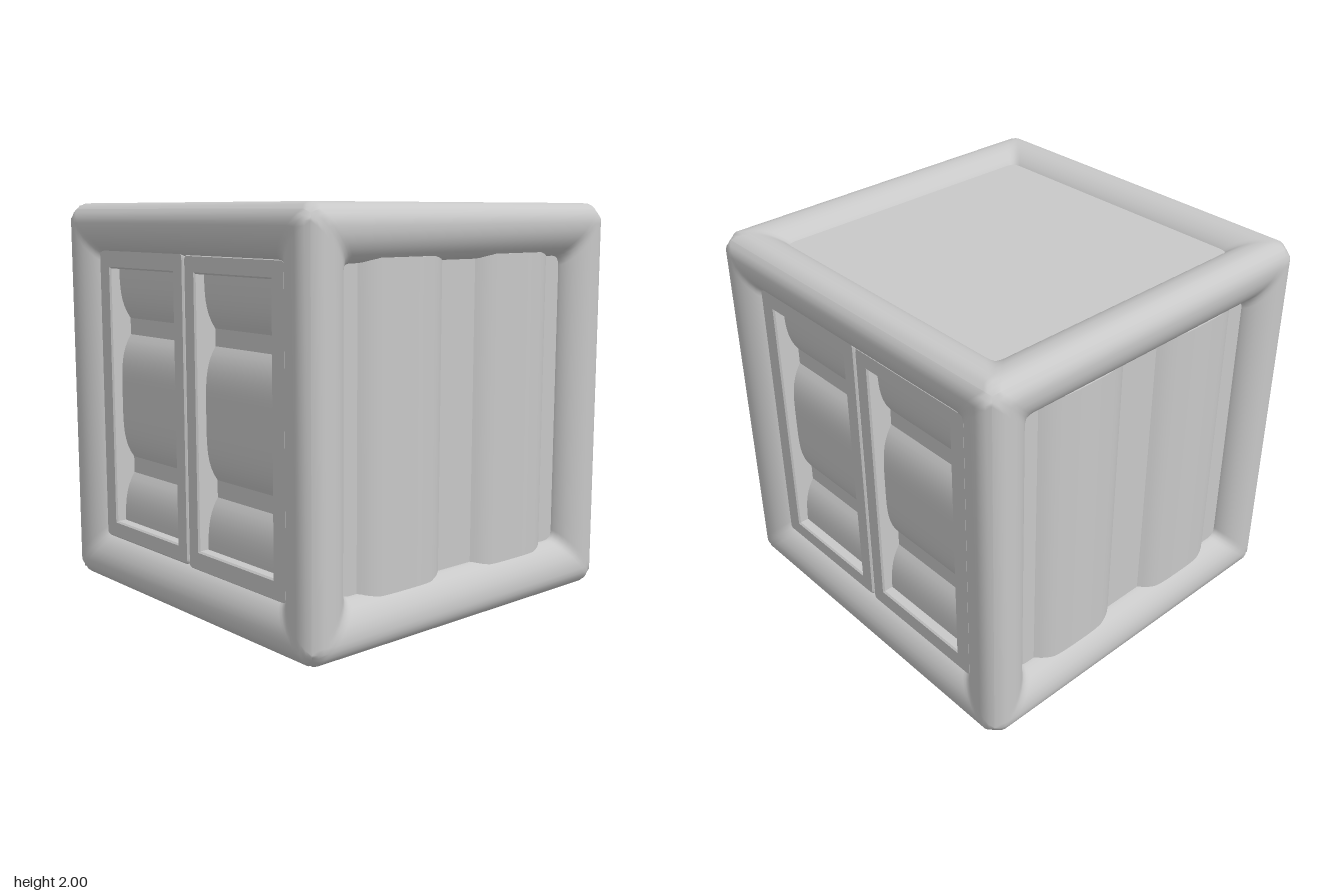
import * as THREE from 'three';
import { toCreasedNormals } from 'three/addons/utils/BufferGeometryUtils.js';

// Every face is built facing +z around the cube centre, then turned into place.

// Rounded border of one face: square loops swept from the outer edge to the opening.
function frameGeometry() {
  const profile = [[0.97, 0.97], [0.95, 0.987], [0.925, 0.997], [0.9, 1], [0.865, 0.998], [0.83, 0.988],
    [0.8, 0.972], [0.775, 0.953], [0.755, 0.93], [0.742, 0.905], [0.735, 0.88], [0.733, 0.78]];
  const r = 0.05, steps = 4, per = (steps + 1) * 4;
  const pos = [], index = [];
  profile.forEach(([u, h], i) => {
    const round = i / (profile.length - 1);
    for (let k = 0; k < 4; k++) {
      for (let s = 0; s <= steps; s++) {
        const a = (s / steps) * Math.PI / 2;
        const c = Math.cos(a), d = Math.sin(a), m = Math.max(c, d);
        const x = u - r + r * THREE.MathUtils.lerp(c / m, c, round);
        const y = u - r + r * THREE.MathUtils.lerp(d / m, d, round);
        const p = new THREE.Vector3(x, y, h);
        // soften the cube corner
        const sum = x + y + h;
        if (sum > 2.86) p.multiplyScalar(2.86 / sum);
        p.applyAxisAngle(new THREE.Vector3(0, 0, 1), k * Math.PI / 2);
        pos.push(p.x, p.y, p.z);
      }
    }
    if (i === 0) return;
    for (let j = 0; j < per; j++) {
      const n = (j + 1) % per, o = (i - 1) * per, q = i * per;
      index.push(o + j, o + n, q + n, o + j, q + n, q + j);
    }
  });
  const geo = new THREE.BufferGeometry();
  geo.setAttribute('position', new THREE.Float32BufferAttribute(pos, 3));
  geo.setIndex(index);
  geo.computeVertexNormals();
  return geo;
}

// Panel with rounded ribs running along y.
function ribbedGeometry(centres, half, height, base) {
  const span = 0.76, length = 1.52;
  const shape = new THREE.Shape();
  shape.moveTo(-span, base - 0.1);
  shape.lineTo(span, base - 0.1);
  shape.lineTo(span, base);
  const pts = [];
  for (const c of centres) {
    for (let i = 0; i <= 20; i++) {
      const s = 1 - i / 10, t = c + half * s;
      if (Math.abs(t) <= span) pts.push([t, base + height * (1 - Math.abs(s) ** 4)]);
    }
  }
  pts.sort((a, b) => b[0] - a[0]);
  pts.forEach(([t, h]) => shape.lineTo(t, h));
  shape.lineTo(-span, base);
  const geo = new THREE.ExtrudeGeometry(shape, { depth: length, bevelEnabled: false });
  geo.translate(0, 0, -length / 2);
  geo.rotateX(Math.PI / 2);
  return toCreasedNormals(geo, 0.5);
}

function rect(path, x0, y0, x1, y1, r) {
  path.moveTo(x0 + r, y0);
  path.lineTo(x1 - r, y0);
  path.quadraticCurveTo(x1, y0, x1, y0 + r);
  path.lineTo(x1, y1 - r);
  path.quadraticCurveTo(x1, y1, x1 - r, y1);
  path.lineTo(x0 + r, y1);
  path.quadraticCurveTo(x0, y1, x0, y1 - r);
  path.lineTo(x0, y0 + r);
  path.quadraticCurveTo(x0, y0, x0 + r, y0);
  return path;
}

// Door surround with one tall opening and a fine bevel.
function doorGeometry() {
  const b = 0.008;
  const shape = rect(new THREE.Shape(), 0.004 + b, -0.76 + b, 0.76 - b, 0.76 - b, 0.02);
  const hole = new THREE.Path();
  hole.setFromPoints([[0.092 - b, -0.66 - b], [0.092 - b, 0.67 + b], [0.66 + b, 0.67 + b], [0.66 + b, -0.66 - b],
    [0.092 - b, -0.66 - b]].map(([x, y]) => new THREE.Vector2(x, y)));
  shape.holes.push(hole);
  const geo = new THREE.ExtrudeGeometry(shape, {
    depth: 0.15, bevelThickness: b, bevelSize: b, bevelSegments: 1, curveSegments: 4,
  });
  geo.translate(0, 0, 0.935 - 0.15 - b);
  return geo;
}

export function createModel() {
  const grey = new THREE.MeshStandardMaterial({ color: 0xc8c8c8 });
  grey.name = 'light grey';
  const model = new THREE.Group();
  model.name = 'crate';

  const add = (group, geo, name) => {
    const mesh = new THREE.Mesh(geo, grey);
    mesh.name = name;
    group.add(mesh);
    return mesh;
  };

  const frame = frameGeometry();
  const columns = ribbedGeometry([-0.375, 0.375], 0.263, 0.055, 0.89);
  const slats = ribbedGeometry([-0.735, 0, 0.735], 0.325, 0.06, 0.82).rotateZ(Math.PI / 2);
  const door = doorGeometry();
  const lid = new THREE.BoxGeometry(1.52, 1.52, 0.1).translate(0, 0, 0.885);

  const face = (name, rx, ry) => {
    const group = new THREE.Group();
    group.name = name;
    group.rotation.set(rx, ry, 0);
    group.position.y = 1;
    add(group, frame, 'frame');
    model.add(group);
    return group;
  };

  // front and back: two broad upright columns
  for (const [name, ry] of [['front', 0], ['back', Math.PI]]) {
    add(face(name, 0, ry), columns, 'columnPanel');
  }
  // sides: a pair of doors over horizontal slats
  for (const [name, ry] of [['leftSide', Math.PI / 2], ['rightSide', -Math.PI / 2]]) {
    const side = face(name, 0, ry);
    add(side, slats, 'slatPanel');
    add(side, door, 'doorSurround');
    add(side, door, 'doorSurround').rotation.z = Math.PI;
    side.children.at(-1).position.y = 0.01;
  }
  // top and bottom: plain panels
  for (const [name, rx] of [['top', -Math.PI / 2], ['bottom', Math.PI / 2]]) {
    add(face(name, rx, 0), lid, 'plainPanel');
  }
  return model;
}
